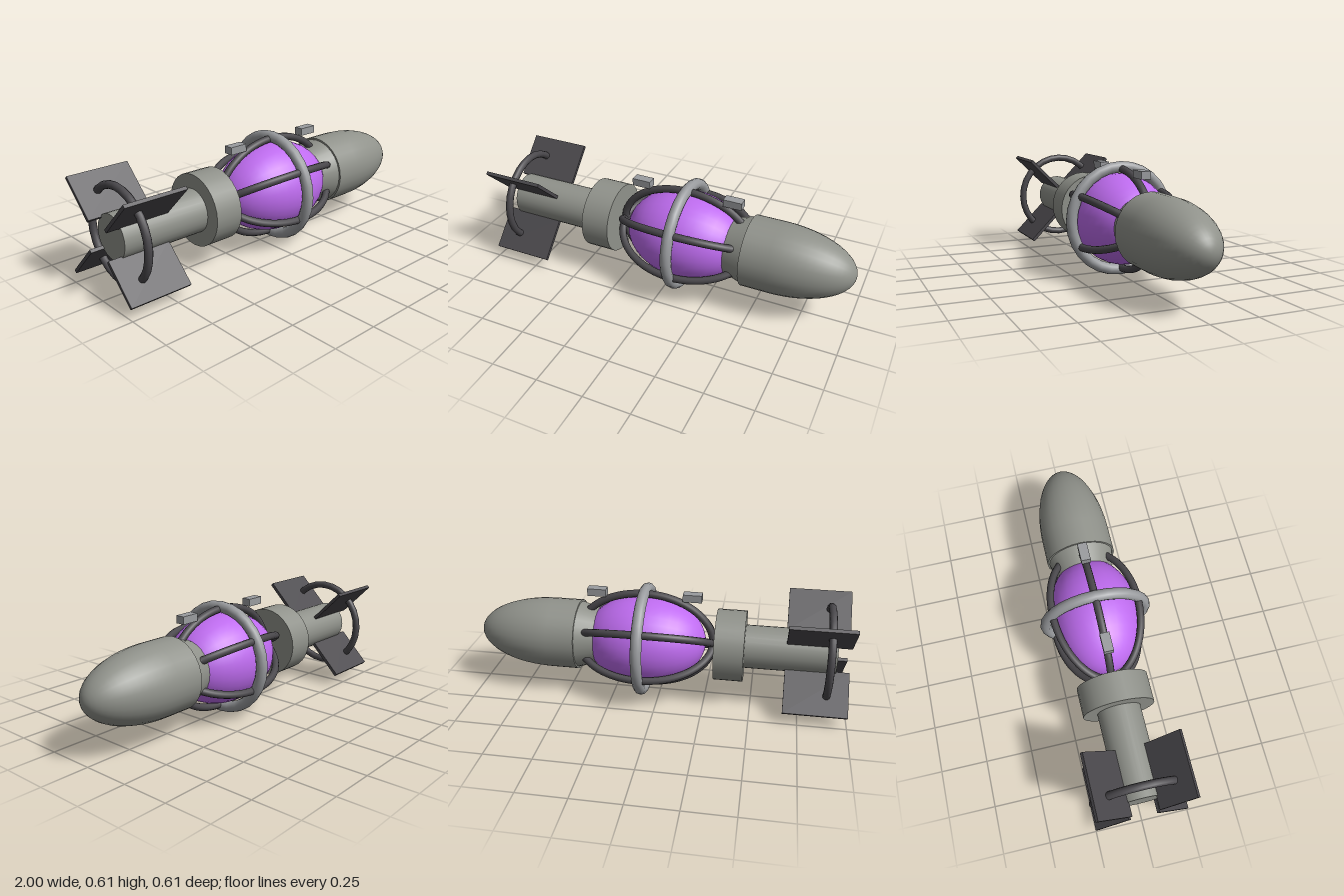
import * as THREE from 'three';

const AXIS_Y = 0.305;   // height of the long axis
const BULB_X = 0.085;   // middle of the glowing bulb

const material = (color) => new THREE.MeshStandardMaterial({ color });

export function createModel() {
  const model = new THREE.Group();
  model.name = 'model';
  const body = new THREE.Group();
  body.name = 'bombBody';
  body.position.y = AXIS_Y;
  model.add(body);

  const shell = material(0x90928b);
  const dark = material(0x4a484c);
  const steel = material(0x9a9c9f);
  const purple = material(0xbf6cf0);

  function add(name, geometry, mat, parent = body) {
    const mesh = new THREE.Mesh(geometry, mat);
    mesh.name = name;
    parent.add(mesh);
    return mesh;
  }

  // Round section along x, from x0 (radius r0) to x1 (radius r1)
  function section(name, x0, r0, x1, r1) {
    const geo = new THREE.CylinderGeometry(r1, r0, x1 - x0, 28);
    geo.rotateZ(-Math.PI / 2).translate((x0 + x1) / 2, 0, 0);
    return add(name, geo, shell);
  }

  // Hoop around the long axis
  function hoop(name, x, radius, tube, mat) {
    const geo = new THREE.TorusGeometry(radius, tube, 12, 28);
    geo.rotateY(Math.PI / 2).translate(x, 0, 0);
    return add(name, geo, mat);
  }

  // Tail tube, rear collar, neck and front band
  section('tailTube', -0.93, 0.115, -0.44, 0.115);
  section('rearCollar', -0.455, 0.19, -0.3, 0.19);
  section('neck', 0.34, 0.15, 0.44, 0.18);
  section('frontBand', 0.44, 0.19, 0.59, 0.19);

  // Half-ellipsoid nose
  const nose = new THREE.SphereGeometry(1, 28, 14, 0, Math.PI * 2, 0, Math.PI / 2);
  nose.scale(0.19, 0.41, 0.19).rotateZ(-Math.PI / 2).translate(0.59, 0, 0);
  add('noseCone', nose, shell);

  // Bulb
  const bulb = new THREE.SphereGeometry(1, 32, 20);
  bulb.rotateZ(-Math.PI / 2).scale(0.33, 0.24, 0.24).translate(BULB_X, 0, 0);
  add('bulb', bulb, purple);

  // Six curved cage bars, following an ellipse from the collar to the neck
  const cage = new THREE.Group();
  cage.name = 'cage';
  body.add(cage);
  const points = [];
  for (let i = 0; i <= 16; i++) {
    const t = Math.PI + (0.62 - Math.PI) * (i / 16);
    points.push(new THREE.Vector3(BULB_X + 0.37 * Math.cos(t), 0.265 * Math.sin(t), 0));
  }
  const barGeo = new THREE.TubeGeometry(new THREE.CatmullRomCurve3(points), 32, 0.02, 10);
  const capGeo = new THREE.SphereGeometry(0.02, 10, 8);
  for (let i = 0; i < 6; i++) {
    const bar = new THREE.Group();
    bar.name = 'cageBar' + (i + 1);
    bar.rotation.x = i * Math.PI / 3;
    cage.add(bar);
    add('barTube', barGeo, dark, bar);
    add('barEnd', capGeo, dark, bar).position.copy(points[points.length - 1]);
  }

  // Hoop round the middle of the cage
  hoop('cageHoop', BULB_X, 0.275, 0.03, steel);

  // Two hanging lugs on the top bar
  [-0.17, 0.34].forEach((x, i) => {
    add(i ? 'frontLug' : 'rearLug', new THREE.BoxGeometry(0.1, 0.04, 0.05), steel)
      .position.set(x, 0.262, 0);
  });

  // Four diagonal tail fins
  const finGeo = new THREE.BoxGeometry(0.33, 0.24, 0.018);
  finGeo.translate(-0.835, 0.226, 0);
  for (let i = 0; i < 4; i++) {
    add('tailFin' + (i + 1), finGeo, dark).rotation.x = Math.PI / 4 + i * Math.PI / 2;
  }

  // Ring that ties the fins together
  hoop('tailRing', -0.888, 0.24, 0.02, dark);

  return model;
}
